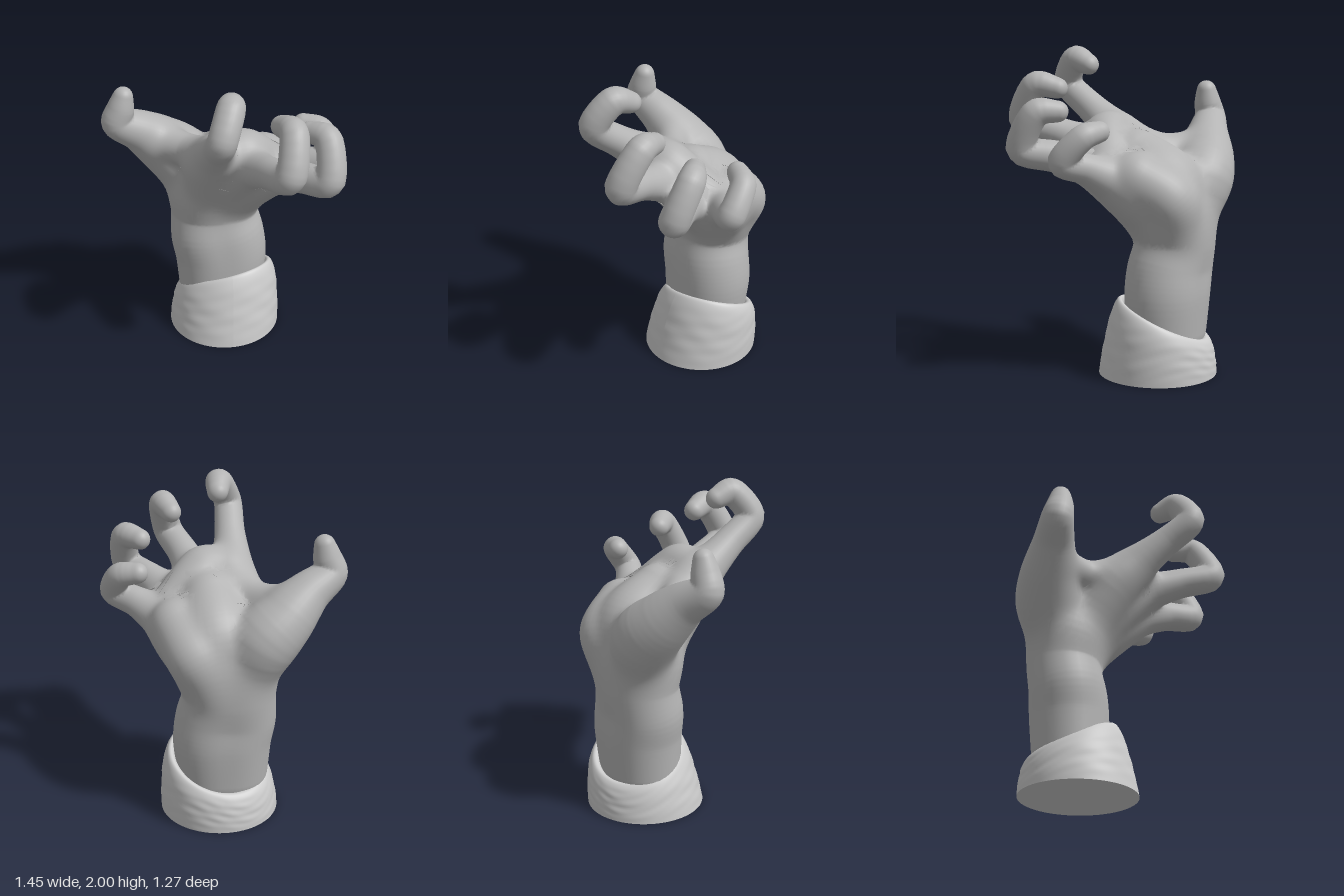
import * as THREE from 'three';

const skinMaterial = new THREE.MeshStandardMaterial({ color: 0xb4b4b4 });
const clothMaterial = new THREE.MeshStandardMaterial({ color: 0xcccccc });

// Bones, digits and fleshy pads as [x, y, z, radius] stations, from root to tip.
const LIMBS = {
  innerForearm: [
    [-0.04, 0.27, -0.32, 0.22], [-0.05, 0.5, -0.33, 0.23], [-0.08, 0.65, -0.335, 0.226],
    [-0.08, 0.82, -0.36, 0.218], [-0.08, 0.98, -0.345, 0.23], [-0.07, 1.1, -0.32, 0.2],
  ],
  outerForearm: [
    [0.08, 0.27, -0.32, 0.22], [0.095, 0.5, -0.33, 0.23], [0.08, 0.65, -0.335, 0.226],
    [0.04, 0.82, -0.36, 0.214], [0.07, 0.98, -0.345, 0.225], [0.09, 1.1, -0.31, 0.2],
  ],
  palmCentre: [
    [0.04, 0.95, -0.38, 0.15], [0.06, 1.18, -0.33, 0.21], [0.08, 1.34, -0.14, 0.165],
  ],
  palmHeel: [
    [0.11, 0.88, -0.43, 0.12], [0.2, 1.1, -0.43, 0.165], [0.29, 1.24, -0.26, 0.148],
  ],
  knucklePad: [
    [-0.03, 1.46, 0.06, 0.125], [0.11, 1.47, 0.05, 0.13], [0.28, 1.32, -0.06, 0.115],
  ],
  thumbWeb: [
    [-0.36, 1.37, -0.34, 0.1], [-0.2, 1.36, -0.2, 0.1], [-0.09, 1.38, -0.02, 0.11],
  ],
  thumb: [
    [-0.12, 0.93, -0.4, 0.13], [-0.21, 1.17, -0.43, 0.2], [-0.335, 1.3, -0.41, 0.175],
    [-0.48, 1.44, -0.35, 0.13], [-0.62, 1.535, -0.3, 0.1], [-0.6, 1.63, -0.29, 0.085], [-0.58, 1.715, -0.29, 0.062],
  ],
  indexFinger: [
    [-0.07, 0.88, -0.35, 0.13], [-0.08, 1.28, -0.1, 0.168], [-0.085, 1.47, 0.1, 0.122], [-0.09, 1.62, 0.29, 0.094],
    [-0.095, 1.76, 0.455, 0.088], [-0.03, 1.915, 0.36, 0.084], [-0.01, 1.885, 0.25, 0.064],
  ],
  middleFinger: [
    [0.02, 0.88, -0.35, 0.13], [0.07, 1.23, -0.1, 0.172], [0.135, 1.38, 0.12, 0.122], [0.2, 1.47, 0.34, 0.097],
    [0.28, 1.55, 0.545, 0.092], [0.32, 1.765, 0.43, 0.084], [0.275, 1.75, 0.3, 0.064],
  ],
  ringFinger: [
    [0.07, 0.86, -0.36, 0.13], [0.19, 1.15, -0.13, 0.165], [0.29, 1.28, 0.06, 0.122], [0.42, 1.35, 0.22, 0.097],
    [0.555, 1.4, 0.38, 0.09], [0.565, 1.615, 0.27, 0.083], [0.475, 1.625, 0.17, 0.064],
  ],
  littleFinger: [
    [0.1, 0.88, -0.38, 0.12], [0.25, 1.1, -0.25, 0.155], [0.37, 1.22, -0.13, 0.122], [0.51, 1.3, -0.04, 0.092],
    [0.645, 1.35, 0.035, 0.084], [0.61, 1.49, -0.08, 0.077], [0.505, 1.52, -0.13, 0.063],
  ],
};

const spline = (points) => new THREE.CatmullRomCurve3(points, false, 'catmullrom', 0.4);
const pathOf = (stations) => spline(stations.map(([x, y, z]) => new THREE.Vector3(x, y, z)));
const radiusOf = (stations) => spline(stations.map((s) => new THREE.Vector3(s[3], 0, 0)));

// Each limb sampled as a chain of tapered segments, for measuring distances.
const chains = Object.values(LIMBS).map((stations) => {
  const path = pathOf(stations), radius = radiusOf(stations);
  return Array.from({ length: 29 }, (_, i) => [...path.getPoint(i / 28).toArray(), radius.getPoint(i / 28).x]);
});

function chainDistance(chain, x, y, z) {
  let best = Infinity;
  for (let i = 0; i < chain.length - 1; i++) {
    const a = chain[i], b = chain[i + 1];
    const dx = b[0] - a[0], dy = b[1] - a[1], dz = b[2] - a[2], dr = b[3] - a[3];
    const px = x - a[0], py = y - a[1], pz = z - a[2];
    const length2 = dx * dx + dy * dy + dz * dz;
    const along = (px * dx + py * dy + pz * dz) / length2;
    const away2 = Math.max(0, px * px + py * py + pz * pz - along * along * length2);
    const lean = Math.sqrt(away2 / Math.max(1e-6, length2 - dr * dr)) * dr / Math.sqrt(length2);
    const t = Math.max(0, Math.min(1, along + lean));
    best = Math.min(best, Math.sqrt(away2 + (along - t) ** 2 * length2) - a[3] - dr * t);
  }
  return best;
}

// Distance to all limbs melted together into one flesh.
const BLEND = 0.024;
function fleshDistance(x, y, z) {
  let sum = 0;
  for (const chain of chains) sum += Math.exp(-chainDistance(chain, x, y, z) / BLEND);
  return -BLEND * Math.log(sum);
}

// Distance and outward slope of the flesh at a point, from four nearby samples.
const CORNERS = [[1, -1, -1], [-1, -1, 1], [-1, 1, -1], [1, 1, 1]];
function probe(p, slope) {
  const e = 0.006;
  let distance = 0;
  slope.set(0, 0, 0);
  for (const [i, j, k] of CORNERS) {
    const d = fleshDistance(p.x + i * e, p.y + j * e, p.z + k * e);
    distance += d / 4;
    slope.x += i * d / (4 * e);
    slope.y += j * d / (4 * e);
    slope.z += k * d / (4 * e);
  }
  return distance;
}

// Pull the limb's outer vertices onto the flesh, so neighbours meet in soft fillets.
function melt(geometry) {
  const position = geometry.attributes.position;
  const normals = new Float32Array(position.count * 3);
  const p = new THREE.Vector3(), slope = new THREE.Vector3();
  for (let i = 0; i < position.count; i++) {
    p.fromBufferAttribute(position, i);
    for (let pass = 0; pass < 4; pass++) {
      const d = probe(p, slope);
      if (d < -0.1) break;
      p.addScaledVector(slope, -d / Math.max(0.25, slope.lengthSq()));
    }
    position.setXYZ(i, p.x, p.y, p.z);
    probe(p, slope);
    slope.normalize().toArray(normals, i * 3);
  }
  geometry.setAttribute('normal', new THREE.BufferAttribute(normals, 3));
  return geometry;
}

// Round limb along its stations, with a dome closing each end.
function limb(stations, sides = 30, steps = 56, domeSteps = 7) {
  const path = pathOf(stations), radius = radiusOf(stations);
  const points = [], index = [];
  const normal = new THREE.Vector3(0.31, 0.2, 0.93);
  const addRing = (t, angle) => {
    const tangent = path.getTangent(t), r = radius.getPoint(t).x;
    const center = path.getPoint(t).addScaledVector(tangent, r * Math.sin(angle));
    normal.addScaledVector(tangent, -normal.dot(tangent)).normalize();
    const binormal = new THREE.Vector3().crossVectors(tangent, normal);
    for (let j = 0; j < sides; j++) {
      const a = (j / sides) * Math.PI * 2, ring = r * Math.cos(angle);
      points.push(center.clone().addScaledVector(normal, ring * Math.cos(a)).addScaledVector(binormal, ring * Math.sin(a)));
    }
  };
  for (let k = domeSteps; k > 0; k--) addRing(0, -k / domeSteps * Math.PI / 2);
  for (let i = 0; i <= steps; i++) addRing(i / steps, 0);
  for (let k = 1; k <= domeSteps; k++) addRing(1, k / domeSteps * Math.PI / 2);
  for (let a = 0; a < points.length - sides; a++) {
    const b = a % sides === sides - 1 ? a + 1 - sides : a + 1;
    index.push(a, b, b + sides, a, b + sides, a + sides);
  }
  return new THREE.BufferGeometry().setFromPoints(points).setIndex(index);
}

// Sleeve cuff: a turned profile (radius, share of height) with a slanted rim and faint folds.
function cuffGeometry() {
  const profile = [[0.365, 0], [0.363, 0.2], [0.355, 0.45], [0.342, 0.7], [0.325, 0.87],
    [0.302, 0.98], [0.28, 1], [0.262, 0.95], [0.25, 0.85]].map(([r, v]) => new THREE.Vector2(r, v));
  const geometry = new THREE.LatheGeometry(new THREE.SplineCurve(profile).getPoints(48), 72);
  const p = geometry.attributes.position;
  for (let i = 0; i < p.count; i++) {
    const x = p.getX(i), v = p.getY(i), z = p.getZ(i);
    const a = Math.atan2(z, x);
    const wave = Math.sin(v * 24 + 3 * Math.sin(2 * a) + 2 * Math.cos(3 * a)) * Math.sin(5 * a + 7 * v);
    const fold = 1 + 0.007 * wave * Math.sin(Math.PI * Math.min(1, v));
    const height = 0.355 + 0.11 * Math.sin(a) + 0.06 * Math.cos(a);
    p.setXYZ(i, x * fold + 0.035 + 0.02 * v, v * height, z * fold * (1 - 0.1 * v) - 0.27 - 0.045 * v);
  }
  geometry.computeVertexNormals();
  return geometry;
}

export function createModel() {
  const model = new THREE.Group();
  model.name = 'clawedHand';
  const add = (name, geometry, material) => {
    const mesh = new THREE.Mesh(geometry, material);
    mesh.name = name;
    model.add(mesh);
    return mesh;
  };
  for (const [name, stations] of Object.entries(LIMBS)) add(name, melt(limb(stations)), skinMaterial);
  add('cuff', cuffGeometry(), clothMaterial);

  // Flat underside of the cuff
  const base = add('cuffBase', new THREE.CircleGeometry(0.365, 72), clothMaterial);
  base.rotation.x = Math.PI / 2;
  base.position.set(0.035, 0, -0.27);
  return model;
}
